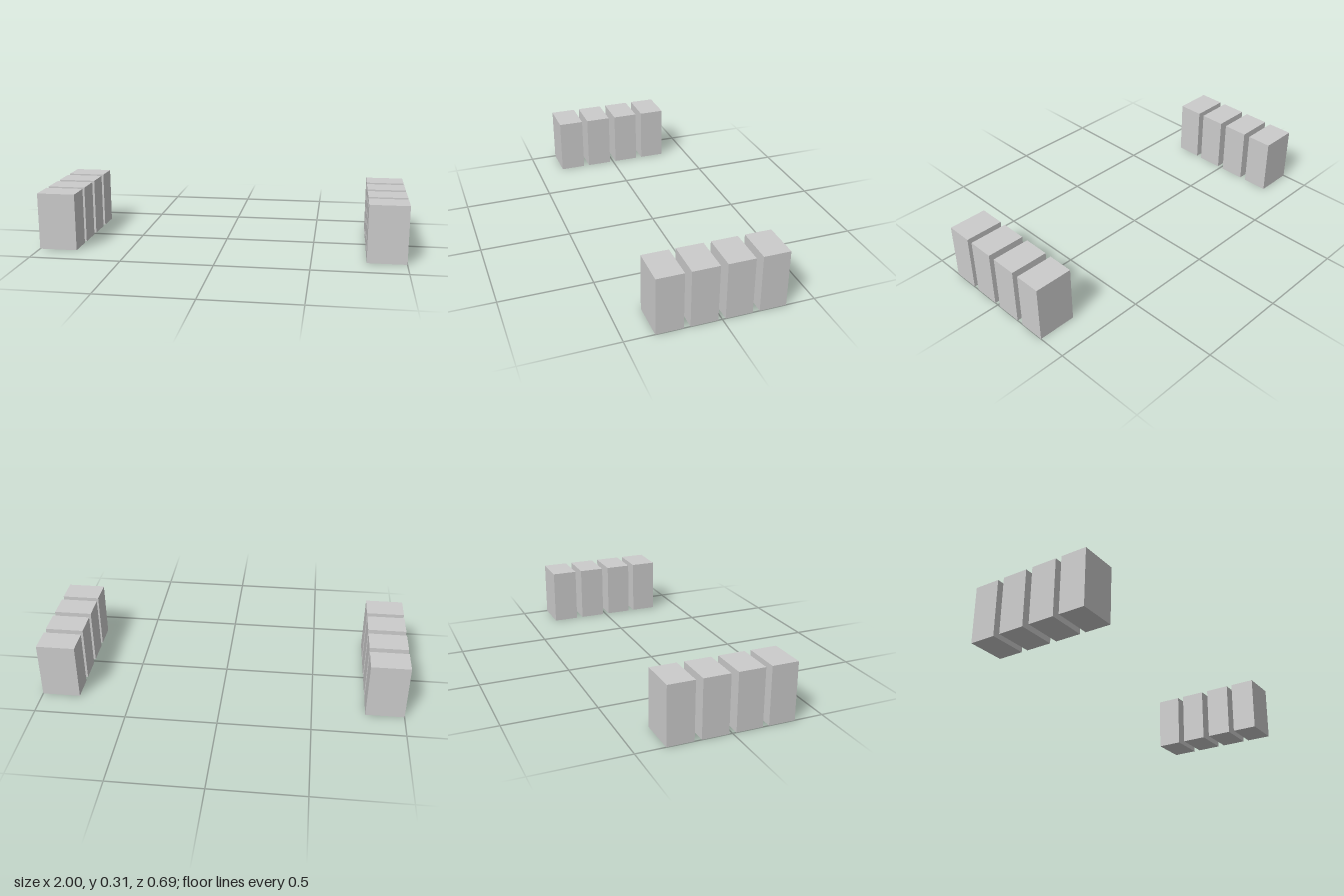
import * as THREE from 'three';

export function createModel() {
  const model = new THREE.Group();
  model.name = 'blockRows';
  const material = new THREE.MeshStandardMaterial({ color: 0xcccccc, flatShading: true });

  const width = 0.21, height = 0.315, depth = 0.144;
  const block = new THREE.BoxGeometry(width, height, depth);
  const rowZ = [0.271, 0.093, -0.0895, -0.271]; // front to back

  // Two mirrored rows of four upright blocks
  for (const [side, name] of [[1, 'left'], [-1, 'right']]) {
    const row = new THREE.Group();
    row.name = `${name}Row`;
    row.position.x = side * (1 - width / 2);
    rowZ.forEach((z, i) => {
      const mesh = new THREE.Mesh(block, material);
      mesh.name = `${name}Block${i + 1}`;
      mesh.position.set(0, height / 2, z);
      row.add(mesh);
    });
    model.add(row);
  }
  return model;
}
